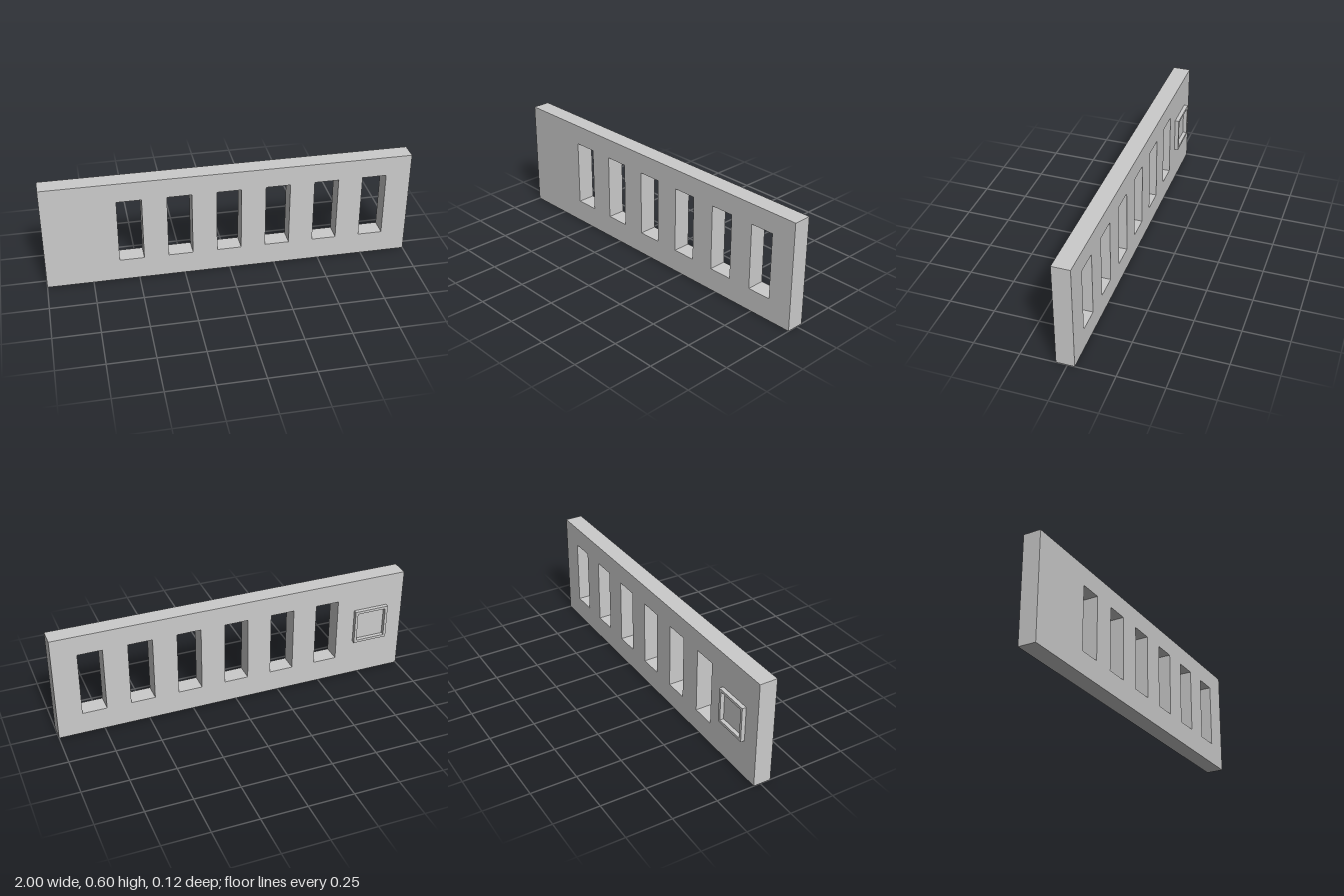
import * as THREE from 'three';

const material = new THREE.MeshStandardMaterial({ color: 0xcccccc, flatShading: true });

// Trace a rectangle from two opposite corners
function rectangle(path, x0, y0, x1, y1) {
  path.moveTo(x0, y0);
  path.lineTo(x1, y0);
  path.lineTo(x1, y1);
  path.lineTo(x0, y1);
  path.closePath();
  return path;
}

function extrudePart(name, shape, zBack, zFront) {
  const geometry = new THREE.ExtrudeGeometry(shape, { depth: zFront - zBack, bevelEnabled: false });
  geometry.translate(0, 0, zBack);
  const mesh = new THREE.Mesh(geometry, material);
  mesh.name = name;
  return mesh;
}

export function createModel() {
  const group = new THREE.Group();
  group.name = 'slottedPanel';
  const backFace = -0.038;

  // Wall panel with a row of six tall openings
  const panel = rectangle(new THREE.Shape(), -1, 0, 1, 0.6);
  for (let i = 0; i < 6; i++) {
    const x = -0.603 + i * 0.2667;
    panel.holes.push(rectangle(new THREE.Path(), x, 0.125, x + 0.133, 0.49));
  }
  group.add(extrudePart('panel', panel, backFace, 0.06));

  // Thin raised square frame on the back
  const rim = 0.015;
  const frame = rectangle(new THREE.Shape(), -0.903, 0.213, -0.705, 0.412);
  frame.holes.push(rectangle(new THREE.Path(), -0.903 + rim, 0.213 + rim, -0.705 - rim, 0.412 - rim));
  group.add(extrudePart('backFrame', frame, -0.06, backFace));

  return group;
}
